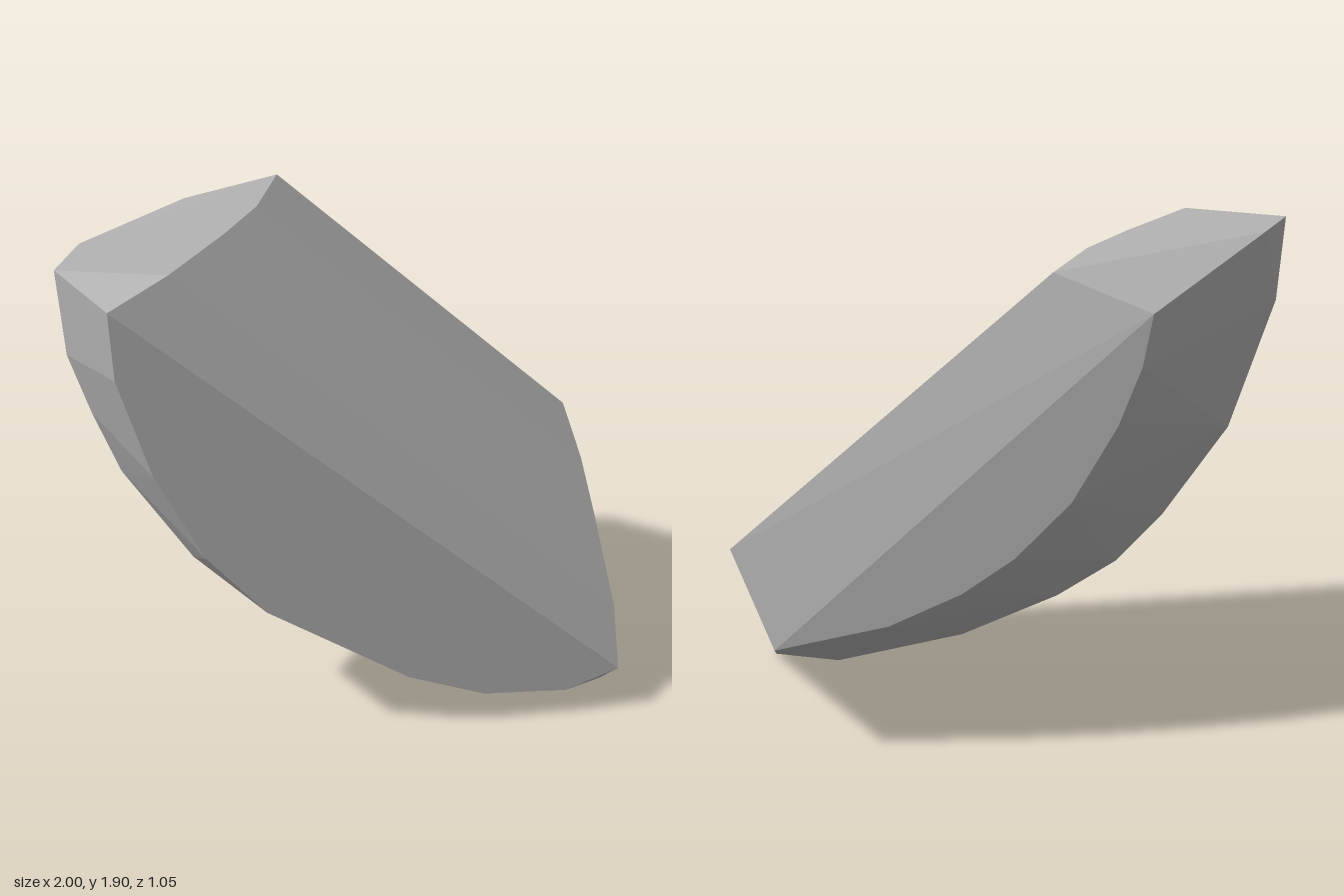
import * as THREE from 'three';
import { ConvexGeometry } from 'three/addons/geometries/ConvexGeometry.js';

export function createModel() {
  const group = new THREE.Group();
  group.name = 'facetedStone';
  const grey = new THREE.MeshStandardMaterial({ color: 0xb4b4b4, flatShading: true });
  grey.name = 'stoneGrey';

  const points = [];
  const add = (list) => list.forEach((p) => points.push(new THREE.Vector3(...p)));
  const addAt = (z, list) => add(list.map(([x, y]) => [x, y, z]));

  // curved rim of the front face
  addAt(0.52, [[-0.84, 1.83], [-0.83, 1.58], [-0.72, 1.2], [-0.55, 0.85], [-0.34, 0.6],
    [-0.08, 0.43], [0.19, 0.25], [0.48, 0.14], [0.8, 0.12], [1, 0.2]]);

  // curved rim of the back face
  addAt(-0.53, [[-0.5, 1.79], [-0.467, 1.6], [-0.39, 1.385], [-0.235, 1.095], [-0.036, 0.873],
    [0.155, 0.727], [0.42, 0.59], [0.84, 0.48]]);

  // belly, the widest line of the curved underside
  add([[-1, 1.9, 0.31], [-0.91, 1.9, 0.1], [-0.98, 1.58, 0.3], [-0.91, 1.35, 0.3],
    [-0.82, 1.08, 0.25], [-0.58, 0.7, 0.26], [-0.4, 0.51, 0.22], [-0.17, 0.36, 0.2],
    [0.22, 0.13, 0.28], [0.73, 0.01, 0.25], [1, 0, 0.31]]);

  // sloped upper surface: each line runs from the flat top to the flat side
  [[-0.63, 0.41, 0.41], [-0.41, 0.62, 0.09], [-0.27, 0.75, -0.14], [-0.16, 0.84, -0.435]]
    .forEach(([x, y, z]) => add([[x, 1.9, z], [1, y, z]]));

  const stone = new THREE.Mesh(new ConvexGeometry(points), grey);
  stone.name = 'stone';
  group.add(stone);
  return group;
}
